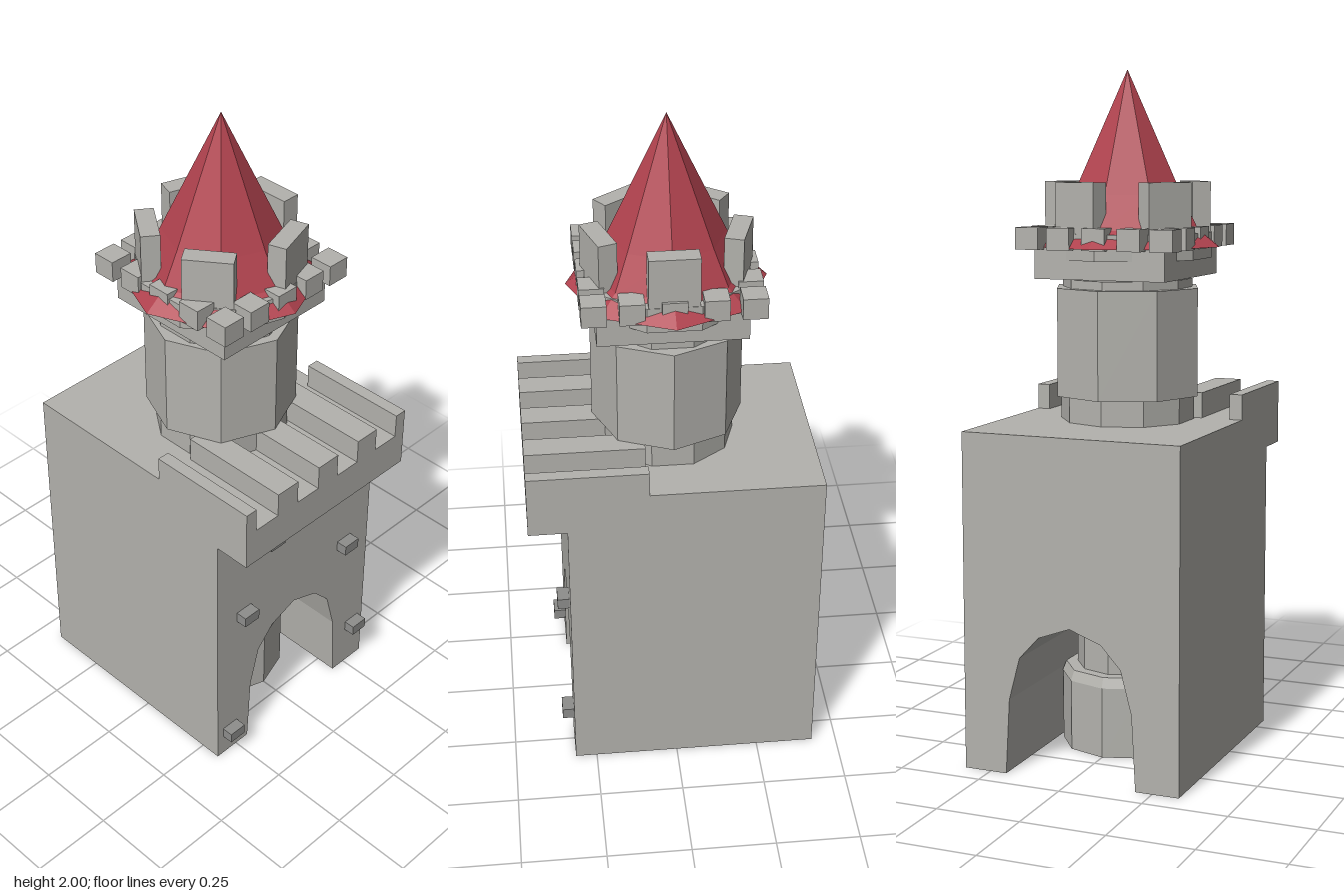
import * as THREE from 'three';

export function createModel() {
  const model = new THREE.Group();
  const mat = (name, hex) => {
    const m = new THREE.MeshStandardMaterial({ color: hex, flatShading: true });
    m.name = name;
    return m;
  };
  const stone = mat('stone', 0xb3b2ad);
  const darkStone = mat('dark stone', 0x8e8e8c);
  const roofRed = mat('roof red', 0xb0424e);

  const add = (name, geometry, material) => {
    const mesh = new THREE.Mesh(geometry, material);
    mesh.name = name;
    model.add(mesh);
    return mesh;
  };
  // box given by its limits on each axis
  const box = (name, x0, x1, y0, y1, z0, z1, material = stone) => {
    const mesh = add(name, new THREE.BoxGeometry(x1 - x0, y1 - y0, z1 - z0), material);
    mesh.position.set((x0 + x1) / 2, (y0 + y1) / 2, (z0 + z1) / 2);
    return mesh;
  };
  // faceted drum standing between two heights
  const drum = (name, rBottom, rTop, y0, y1, sides, material = stone) => {
    const mesh = add(name, new THREE.CylinderGeometry(rTop, rBottom, y1 - y0, sides), material);
    mesh.position.y = (y0 + y1) / 2;
    return mesh;
  };

  // gatehouse with an arched passage from front to back
  const arch = [[-0.2, 0], [-0.188, 0.22], [-0.155, 0.345], [-0.095, 0.41], [0, 0.445],
    [0.095, 0.41], [0.155, 0.345], [0.188, 0.22], [0.2, 0]];
  const outline = [[-0.33, 0], ...arch, [0.33, 0], [0.33, 0.985], [-0.33, 0.985]];
  const gate = new THREE.ExtrudeGeometry(
    new THREE.Shape(outline.map(([x, y]) => new THREE.Vector2(x, y))),
    { depth: 0.74, bevelEnabled: false });
  gate.translate(0, 0, -0.425);
  add('gatehouse', gate, stone);

  // overhanging front parapet and its long merlons
  box('frontParapet', -0.33, 0.33, 0.87, 0.985, 0.315, 0.428);
  for (const [x0, x1] of [[-0.33, -0.292], [-0.205, -0.125], [-0.04, 0.04], [0.125, 0.205], [0.292, 0.33]]) {
    box('parapetMerlon', x0, x1, 0.985, 1.06, 0.08, 0.428);
  }

  // protruding wall bricks
  for (const [x, y] of [[-0.115, 0.775], [-0.22, 0.545], [0.22, 0.545], [-0.277, 0.09], [0.28, 0.16]]) {
    box('wallBrick', x - 0.029, x + 0.029, y - 0.017, y + 0.017, 0.31, 0.35, darkStone);
  }

  // round tower, from the foot in the passage up to the platform
  drum('towerFoot', 0.195, 0.195, 0, 0.21, 10);
  drum('towerFootRim', 0.197, 0.185, 0.21, 0.24, 10);
  drum('towerShaft', 0.15, 0.15, 0.24, 0.9, 10);
  drum('towerNeck', 0.197, 0.197, 0.9, 1.06, 10);
  drum('towerCollar', 0.19, 0.19, 1.06, 1.4, 10);
  drum('towerBody', 0.22, 0.22, 1.06, 1.375, 8);

  // square platform with a ring of small blocks around its edge
  box('platform', -0.2, 0.2, 1.405, 1.5, -0.212, 0.212);
  const steps = [-1, -0.525, 0, 0.525, 1];
  for (const i of steps) {
    for (const j of steps) {
      if (Math.abs(i) < 1 && Math.abs(j) < 1) continue;
      const x = i * 0.205, z = j * 0.22;
      box('platformBlock', x - 0.035, x + 0.035, 1.49, 1.553, z - 0.035, z + 0.035);
    }
  }

  // crown ring with five tall merlons
  drum('crownRing', 0.245, 0.245, 1.46, 1.535, 10);
  for (let k = 0; k < 5; k++) {
    const a = (k * 2 * Math.PI) / 5;
    const merlon = add('crownMerlon', new THREE.BoxGeometry(0.055, 0.18, 0.142), stone);
    merlon.position.set(0.204 * Math.cos(a), 1.59, -0.204 * Math.sin(a));
    merlon.rotation.y = a;
  }

  // eight-sided spire with a flared eave
  drum('eave', 0.285, 0.2, 1.495, 1.56, 8, roofRed);
  drum('spireBase', 0.225, 0.165, 1.535, 1.65, 8, roofRed);
  const spire = add('spire', new THREE.ConeGeometry(0.17, 0.36, 8), roofRed);
  spire.position.y = 1.82;

  return model;
}
